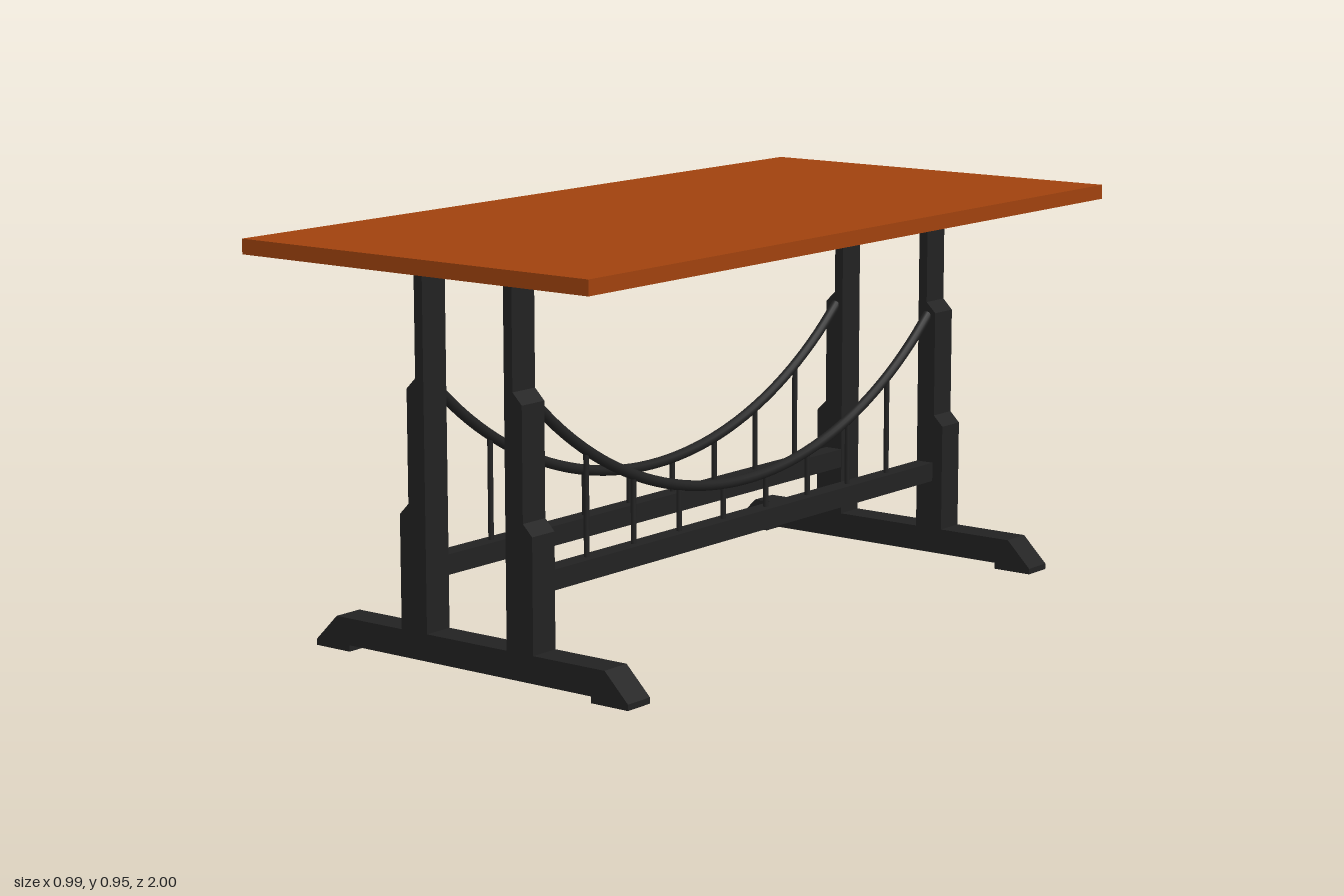
import * as THREE from 'three';

export function createModel() {
  const table = new THREE.Group();
  table.name = 'table';
  const wood = new THREE.MeshStandardMaterial({ name: 'brown wood', color: 0xa0420e });
  const iron = new THREE.MeshStandardMaterial({ name: 'black iron', color: 0x222222 });

  const add = (parent, name, geometry, material, x = 0, y = 0, z = 0) => {
    const mesh = new THREE.Mesh(geometry, material);
    mesh.name = name;
    mesh.position.set(x, y, z);
    parent.add(mesh);
    return mesh;
  };

  // Front outline extruded to the depth of a leg frame, centred on z
  const depth = 0.075, frameZ = 0.7925;
  const slab = (points) => {
    const shape = new THREE.Shape(points.map(([x, y]) => new THREE.Vector2(x, y)));
    return new THREE.ExtrudeGeometry(shape, { depth, bevelEnabled: false }).translate(0, 0, -depth / 2);
  };

  // Table top
  add(table, 'tableTop', new THREE.BoxGeometry(0.99, 0.035, 2), wood, 0, 0.9345, 0);

  // Foot with sloped ends and raised middle; post stepping in on its outer side
  const footHalf = [[0.355, 0.015], [0.355, 0], [0.457, 0], [0.457, 0.014], [0.393, 0.078]];
  const foot = slab([...footHalf, ...footHalf.map(([x, y]) => [-x, y]).reverse()]);
  const postPoints = [
    [0.117, 0.078], [0.193, 0.078], [0.193, 0.342], [0.167, 0.368],
    [0.167, 0.628], [0.141, 0.654], [0.141, 0.917], [0.117, 0.917],
  ];
  const posts = {
    1: slab(postPoints),
    [-1]: slab(postPoints.map(([x, y]) => [-x, y]).reverse()),
  };
  for (const end of [1, -1]) {
    const frame = new THREE.Group();
    frame.name = end > 0 ? 'frontLegFrame' : 'backLegFrame';
    frame.position.z = end * frameZ;
    table.add(frame);
    add(frame, 'foot', foot, iron);
    add(frame, 'mountingPlate', new THREE.BoxGeometry(0.785, 0.008, depth), iron, 0, 0.913, 0);
    for (const side of [1, -1]) add(frame, side > 0 ? 'leftPost' : 'rightPost', posts[side], iron);
  }

  // Suspension sides: rail, hanging arc and vertical hangers
  const railX = 0.141, span = 0.76, low = 0.326, sag = 0.296;
  const radius = (span * span + sag * sag) / (2 * sag);
  const arcY = (z) => low + radius - Math.sqrt(radius * radius - z * z);
  const arcPoints = [];
  for (let i = 0; i <= 24; i++) {
    const z = -span + (2 * span * i) / 24;
    arcPoints.push(new THREE.Vector3(0, arcY(z), z));
  }
  const cable = new THREE.TubeGeometry(new THREE.CatmullRomCurve3(arcPoints), 48, 0.0125, 12);
  for (const side of [1, -1]) {
    const truss = new THREE.Group();
    truss.name = side > 0 ? 'leftTruss' : 'rightTruss';
    truss.position.x = side * railX;
    table.add(truss);
    add(truss, 'rail', new THREE.BoxGeometry(0.047, 0.047, 1.52), iron, 0, 0.223, 0);
    add(truss, 'cable', cable, iron);
    for (let i = 0; i < 8; i++) {
      const z = (i - 3.5) / 6;
      const height = arcY(z) - 0.24;
      add(truss, 'hanger', new THREE.CylinderGeometry(0.0065, 0.0065, height, 12), iron, 0, 0.24 + height / 2, z);
    }
  }
  return table;
}
